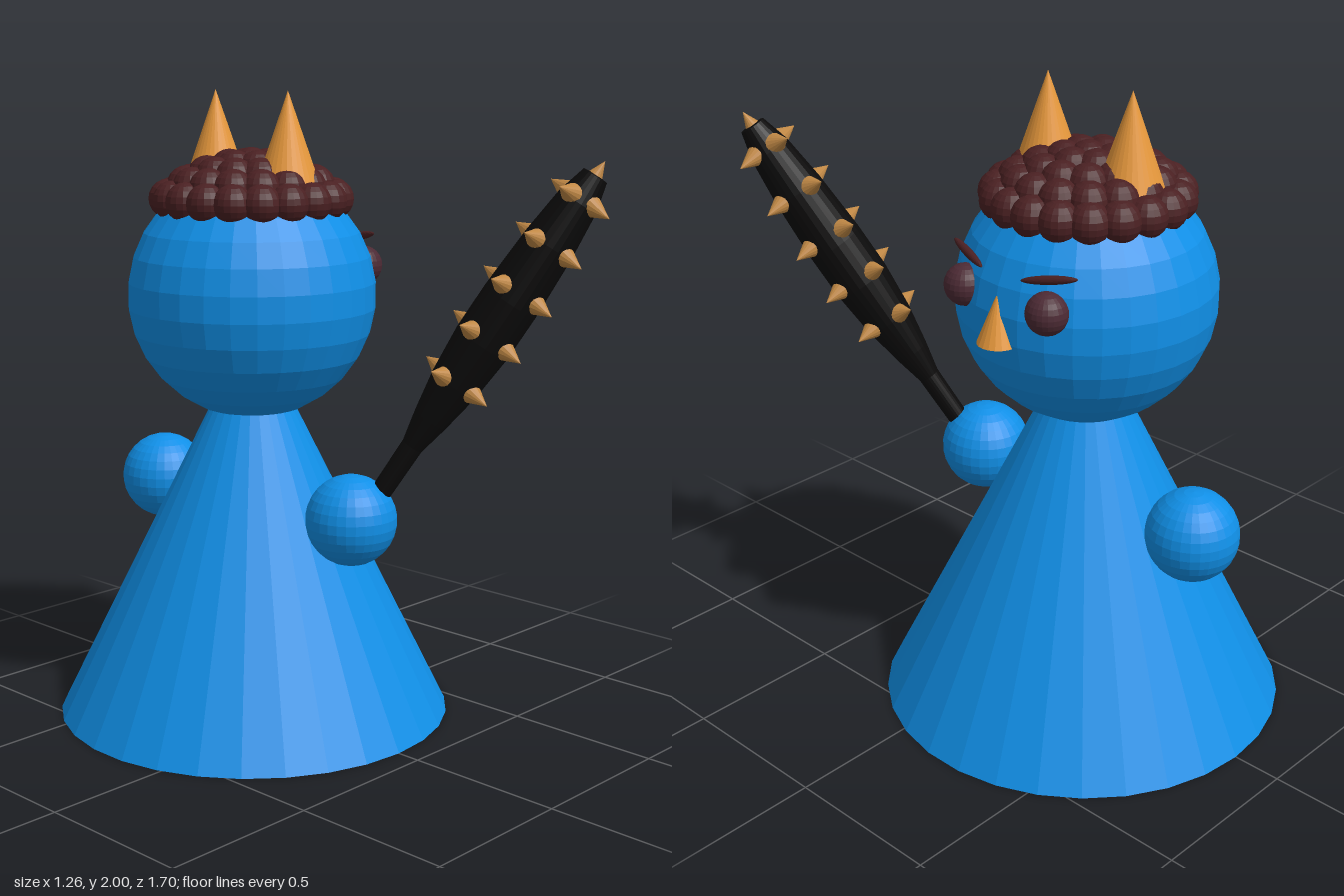
import * as THREE from 'three';

const mat = (name, color) => {
  const m = new THREE.MeshStandardMaterial({ color, flatShading: true });
  m.name = name;
  return m;
};

export function createModel() {
  const root = new THREE.Group();
  root.name = 'hornedFigure';
  const blue = mat('blue skin', 0x1090e8);
  const horn = mat('orange horn', 0xe6983c);
  const spikeTan = mat('tan spike', 0xc08845);
  const hairBrown = mat('dark brown hair', 0x4a2022);
  const eyeBrown = mat('dark plum eye', 0x4c2a34);
  const black = mat('black club', 0x0b0a0a);

  const Z = -0.21; // body axis
  const HEAD = new THREE.Vector3(0, 1.365, Z), R = 0.393;

  const add = (name, geo, material, x, y, z, parent = root) => {
    const m = new THREE.Mesh(geo, material);
    m.name = name;
    m.position.set(x, y, z);
    parent.add(m);
    return m;
  };
  // cone standing on its base at the local origin
  const cone = (r, h, n) => new THREE.ConeGeometry(r, h, n).translate(0, h / 2, 0);

  // body, head and hands
  add('body', cone(0.635, 1.28, 30), blue, 0, 0, Z);
  add('head', new THREE.SphereGeometry(R, 30, 15), blue, HEAD.x, HEAD.y, HEAD.z);
  const hand = new THREE.SphereGeometry(0.142, 30, 15);
  for (const s of [1, -1]) add('hand', hand, blue, 0, 0.705, Z + s * 0.43);

  // face looks along +x: nose, eyes, slanted brows; horns share the spacing
  add('nose', cone(0.063, 0.155, 20), horn, 0.375, 1.315, Z);
  for (const s of [1, -1]) {
    add('eye', new THREE.SphereGeometry(0.063, 24, 12), eyeBrown, 0.345, 1.44, Z + s * 0.16);
    const brow = add('eyebrow', new THREE.SphereGeometry(1, 20, 10), hairBrown, 0.335, 1.535, Z + s * 0.157);
    brow.scale.set(0.013, 0.013, 0.088);
    brow.quaternion.setFromUnitVectors(new THREE.Vector3(0, 0, 1),
      new THREE.Vector3(-0.055, 0.03, s * 0.165).normalize());
    add('horn', cone(0.132, 0.38, 30), horn, 0, 1.62, Z + s * 0.16);
  }

  // hair: rings of curls over the crown
  const hair = new THREE.Group();
  hair.name = 'hair';
  root.add(hair);
  const curl = new THREE.SphereGeometry(0.062, 18, 10);
  [1, 6, 11, 15, 19].forEach((count, ring) => {
    const polar = THREE.MathUtils.degToRad(ring * 10.2);
    for (let i = 0; i < count; i++) {
      const a = ((i + ring * 0.5) / count) * Math.PI * 2;
      const p = new THREE.Vector3().setFromSphericalCoords(R + 0.005, polar, a).add(HEAD);
      add('curl', curl, hairBrown, p.x, p.y, p.z, hair);
    }
  });

  // club: built upright, then leaned out from the hand
  const club = new THREE.Group();
  club.name = 'club';
  const profile = [[0, 0], [0.032, 0], [0.034, 0.17], [0.055, 0.27], [0.077, 0.4], [0.09, 0.55],
    [0.09, 0.7], [0.08, 0.9], [0.064, 1.05], [0.04, 1.14], [0, 1.145]];
  add('clubShaft', new THREE.LatheGeometry(profile.map(p => new THREE.Vector2(...p)), 24), black, 0, 0, 0, club);
  const radiusAt = s => {
    const i = profile.findIndex((p, k) => k > 1 && p[1] >= s);
    const [a, b] = [profile[i - 1], profile[i]];
    return THREE.MathUtils.lerp(a[0], b[0], (s - a[1]) / (b[1] - a[1]));
  };
  const spike = cone(0.034, 0.075, 16);
  const up = new THREE.Vector3(0, 1, 0);
  for (let k = 0; k < 5; k++) {
    const s = 0.41 + k * 0.1625;
    for (let q = 0; q < 4; q++) {
      const dir = new THREE.Vector3(Math.cos(q * Math.PI / 2), 0, Math.sin(q * Math.PI / 2));
      const p = dir.clone().multiplyScalar(radiusAt(s) - 0.012);
      add('spike', spike, spikeTan, p.x, s, p.z, club).quaternion.setFromUnitVectors(up, dir);
    }
  }
  add('tipSpike', cone(0.026, 0.055, 16), spikeTan, 0, 1.135, 0, club);
  club.position.set(0.055, 0.8, 0.295);
  club.quaternion.setFromUnitVectors(up, new THREE.Vector3(0.385, 0.97, 0.485).normalize());
  root.add(club);
  return root;
}
